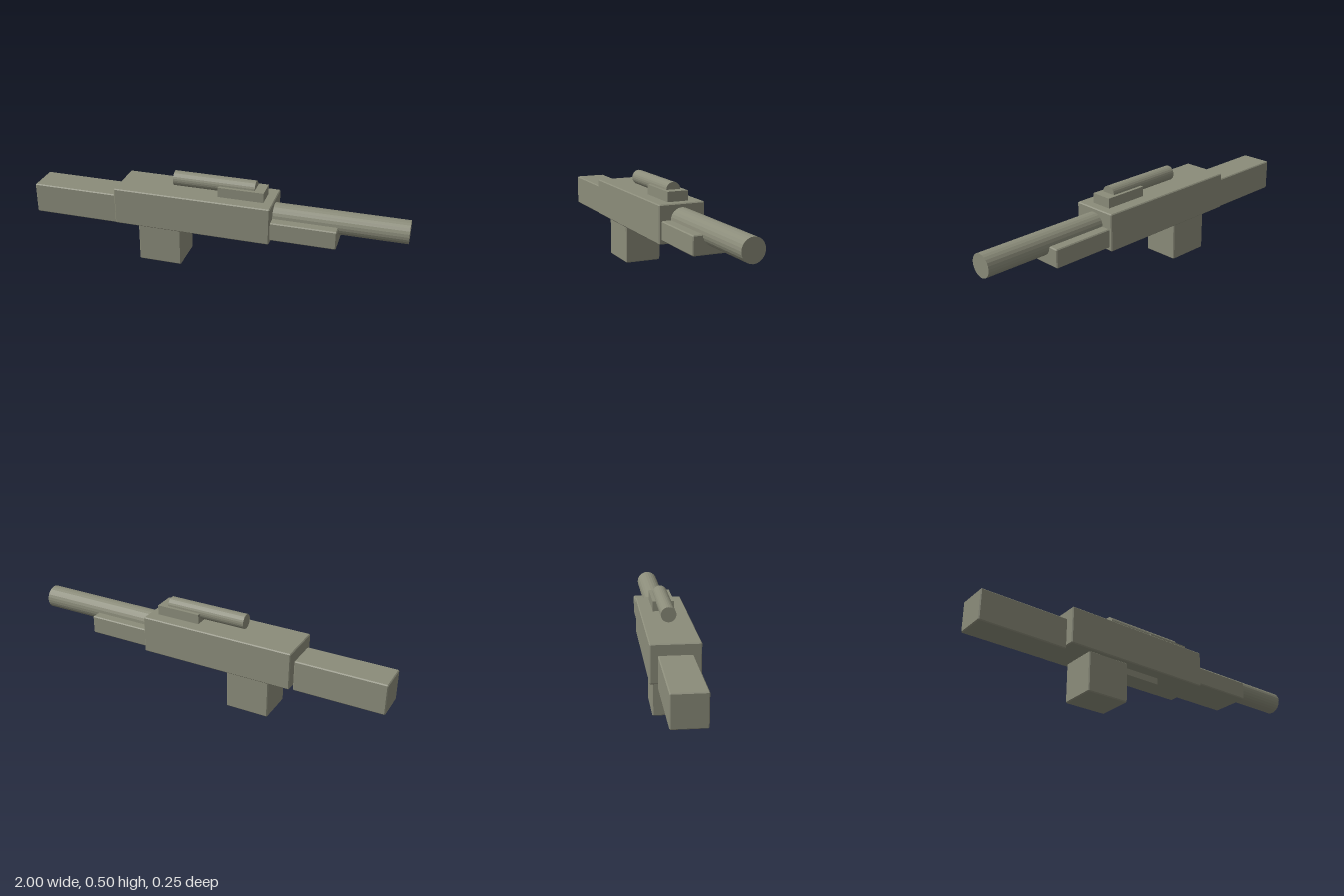
import * as THREE from 'three';
import { ConvexGeometry } from 'three/addons/geometries/ConvexGeometry.js';

export function createModel() {
  const group = new THREE.Group();
  const grey = new THREE.MeshStandardMaterial({ color: 0x8b8c7a });
  grey.name = 'stone grey';

  function add(name, geometry, x, y) {
    const mesh = new THREE.Mesh(geometry, grey);
    mesh.name = name;
    mesh.position.set(x, y, 0);
    group.add(mesh);
  }

  // Box between x0..x1 and y0..y1, centred on z, with optionally chamfered edges
  function block(name, x0, x1, y0, y1, halfDepth, chamfer = 0) {
    const half = [(x1 - x0) / 2, (y1 - y0) / 2, halfDepth];
    let geometry;
    if (chamfer > 0) {
      const points = [];
      for (const sx of [-1, 1]) for (const sy of [-1, 1]) for (const sz of [-1, 1]) {
        const sign = [sx, sy, sz];
        // each corner becomes three points, one on each adjoining face
        for (let face = 0; face < 3; face++) {
          points.push(new THREE.Vector3(
            ...half.map((h, i) => sign[i] * (i === face ? h : h - chamfer))));
        }
      }
      geometry = new ConvexGeometry(points);
    } else {
      geometry = new THREE.BoxGeometry(half[0] * 2, half[1] * 2, half[2] * 2);
    }
    add(name, geometry, (x0 + x1) / 2, (y0 + y1) / 2);
  }

  // Faceted rod along x
  function rod(name, x0, x1, y, radius) {
    const geometry = new THREE.CylinderGeometry(radius, radius, x1 - x0, 24).toNonIndexed();
    geometry.rotateZ(-Math.PI / 2);
    geometry.computeVertexNormals();
    add(name, geometry, (x0 + x1) / 2, y);
  }

  // Main chamfered blocks
  block('rearStock', -1, -0.525, 0.191, 0.356, 0.085, 0.005);
  block('body', -0.521, 0.316, 0.212, 0.411, 0.124, 0.005);
  block('foreGuard', 0.314, 0.655, 0.232, 0.331, 0.111, 0.005);
  block('grip', -0.399, -0.165, 0, 0.216, 0.1, 0.005);

  // Small plain blocks
  block('underBlock', -0.18, 0.066, 0.177, 0.22, 0.056);
  block('topMount', 0.026, 0.267, 0.405, 0.463, 0.056);

  // Rods
  rod('barrel', 0.3, 1, 0.331, 0.06);
  rod('topTube', -0.221, 0.216, 0.462, 0.039);

  return group;
}
